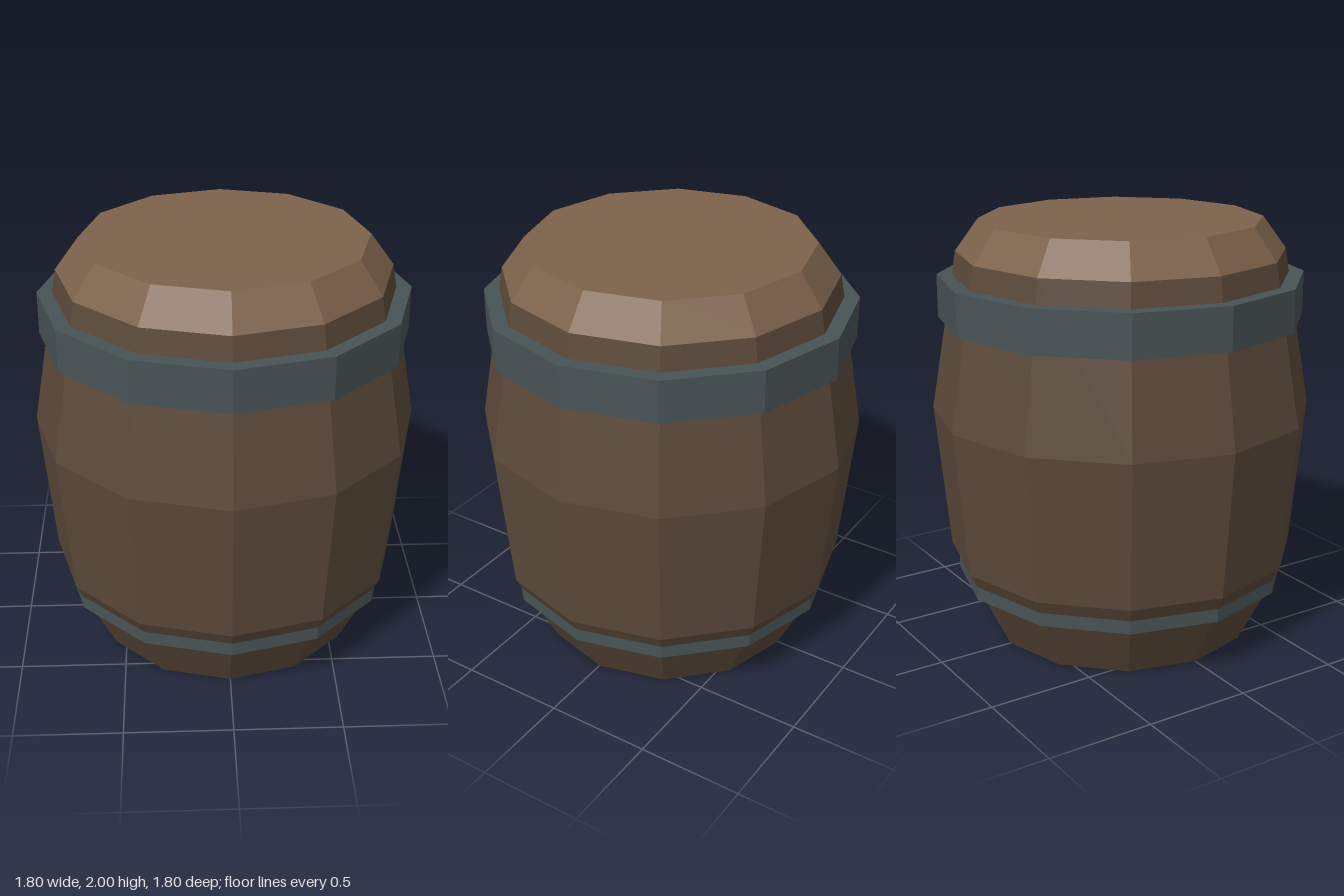
import * as THREE from 'three';

const SIDES = 12;

// Faceted solid of revolution from [radius, height] pairs
function turned(name, profile, color) {
  const points = profile.map(([r, y]) => new THREE.Vector2(r, y));
  const geometry = new THREE.LatheGeometry(points, SIDES);
  const mesh = new THREE.Mesh(geometry, new THREE.MeshStandardMaterial({ color, flatShading: true }));
  mesh.name = name;
  return mesh;
}

// Metal band with a rectangular section, its inner wall sunk into the wood
function hoop(name, inner, outer, y0, y1) {
  return turned(name, [[inner, y0], [outer, y0], [outer, y1], [inner, y1], [inner, y0]], 0x485356);
}

export function createModel() {
  const group = new THREE.Group();
  group.name = 'barrel';

  // Bulging body with a closed bottom
  group.add(turned('body', [[0, 0], [0.635, 0], [0.835, 0.4], [0.9, 1.1], [0.77, 1.85]], 0x5c4a3a));

  // Lighter bevelled lid
  group.add(turned('lid', [[0.77, 1.85], [0.66, 2], [0, 2]], 0x7c624b));

  // Upper hoop stands proud; the lower one sinks into the widening body
  group.add(hoop('upperHoop', 0.76, 0.86, 1.54, 1.74));
  group.add(hoop('lowerHoop', 0.74, 0.802, 0.27, 0.47));

  return group;
}
